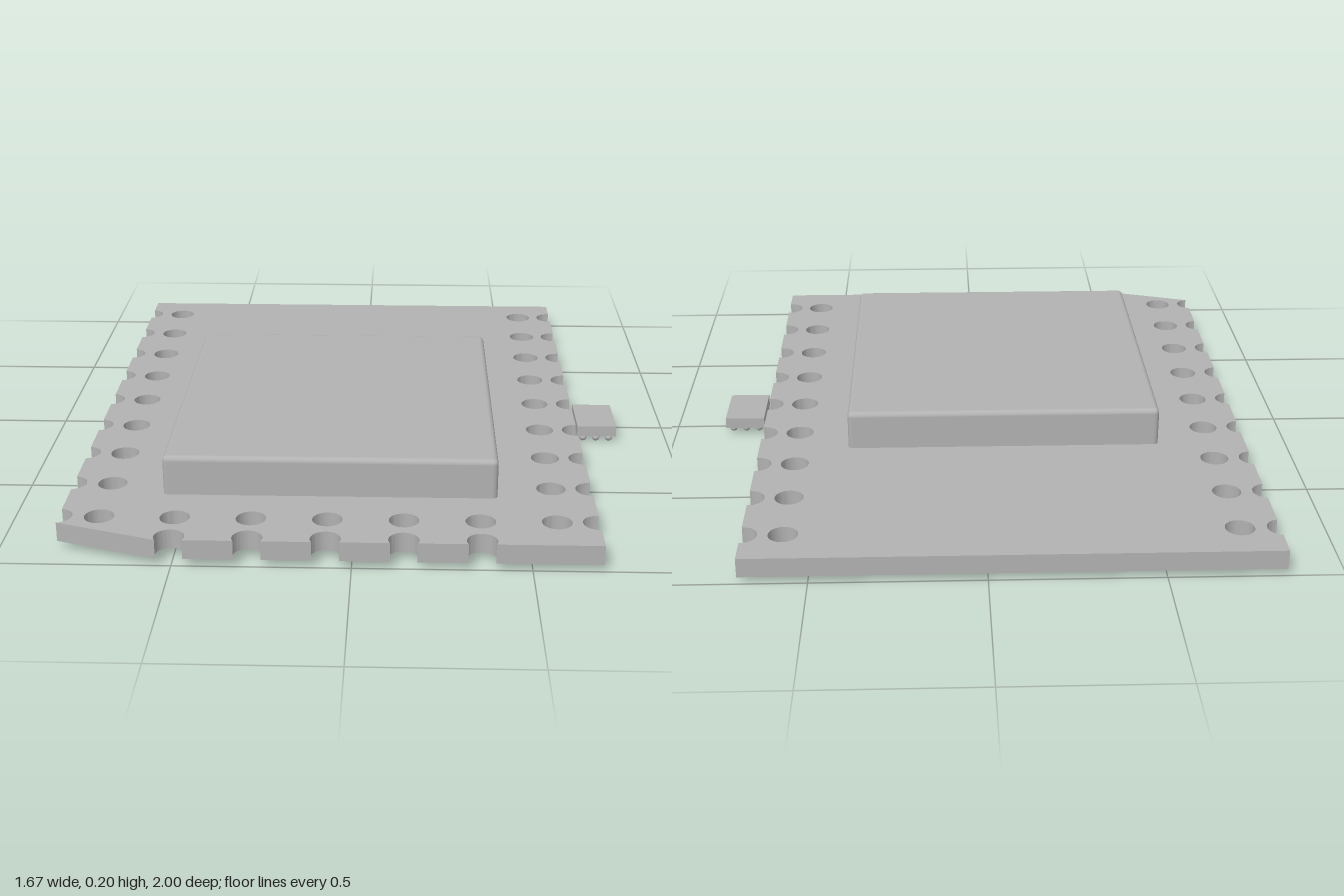
import * as THREE from 'three';
import { toCreasedNormals } from 'three/addons/utils/BufferGeometryUtils.js';
import { RoundedBoxGeometry } from 'three/addons/geometries/RoundedBoxGeometry.js';

const HOLE = 0.043;
const PITCH = 0.2163;
const sideZ = Array.from({ length: 9 }, (_, i) => -0.869 + i * PITCH);
const frontX = Array.from({ length: 5 }, (_, i) => -0.505 + i * PITCH);

// Board outline drawn with shape y = -z, with half-round notches along three edges
function boardShape() {
  const s = new THREE.Shape();
  const front = Math.asin(0.02 / HOLE);
  const side = Math.acos(0.005 / HOLE);
  s.moveTo(-0.835, -1);
  frontX.forEach(x => s.absarc(x, -0.98, HOLE, Math.PI + front, -front, true));
  s.lineTo(0.695, -1);
  [...sideZ].reverse().forEach(z => s.absarc(0.69, -z, HOLE, -side, side, true));
  s.lineTo(0.695, 1);
  s.lineTo(-0.835, 1);
  sideZ.forEach(z => s.absarc(-0.84, -z, HOLE, side, -side, true));
  s.closePath();

  // Plated through holes
  const hole = (x, z) => s.holes.push(new THREE.Path().absarc(x, -z, HOLE, 0, Math.PI * 2, true));
  sideZ.forEach(z => { hole(-0.72, z); hole(0.575, z); });
  frontX.forEach(x => hole(x, 0.862));
  return s;
}

export function createModel() {
  const model = new THREE.Group();
  model.name = 'radioModule';
  const grey = new THREE.MeshStandardMaterial({ color: 0xb2b2b2 });
  grey.name = 'grey';

  const add = (name, geometry, x, y, z, parent = model) => {
    const mesh = new THREE.Mesh(geometry, grey);
    mesh.name = name;
    mesh.position.set(x, y, z);
    parent.add(mesh);
  };

  // Circuit board
  const board = new THREE.ExtrudeGeometry(boardShape(), { depth: 0.058, bevelEnabled: false, curveSegments: 16 });
  board.rotateX(-Math.PI / 2);
  add('circuitBoard', toCreasedNormals(board, 0.6), 0, 0.022, 0);

  // Shield can with softened edges, sunk slightly into the board
  add('shieldCan', new RoundedBoxGeometry(0.975, 0.16, 1.05, 4, 0.016), -0.072, 0.12, 0.19);

  // Small chip beside the board, standing on solder balls
  const chip = new THREE.Group();
  chip.name = 'chip';
  chip.position.set(0.77, 0, 0.032);
  model.add(chip);
  add('chipBody', new THREE.BoxGeometry(0.126, 0.034, 0.184), 0, 0.039, 0, chip);
  const ball = new THREE.SphereGeometry(0.012, 16, 10);
  for (const x of [-0.042, 0, 0.042])
    for (const z of [-0.065, -0.022, 0.032, 0.075])
      add('solderBall', ball, x, 0.012, z, chip);

  return model;
}
